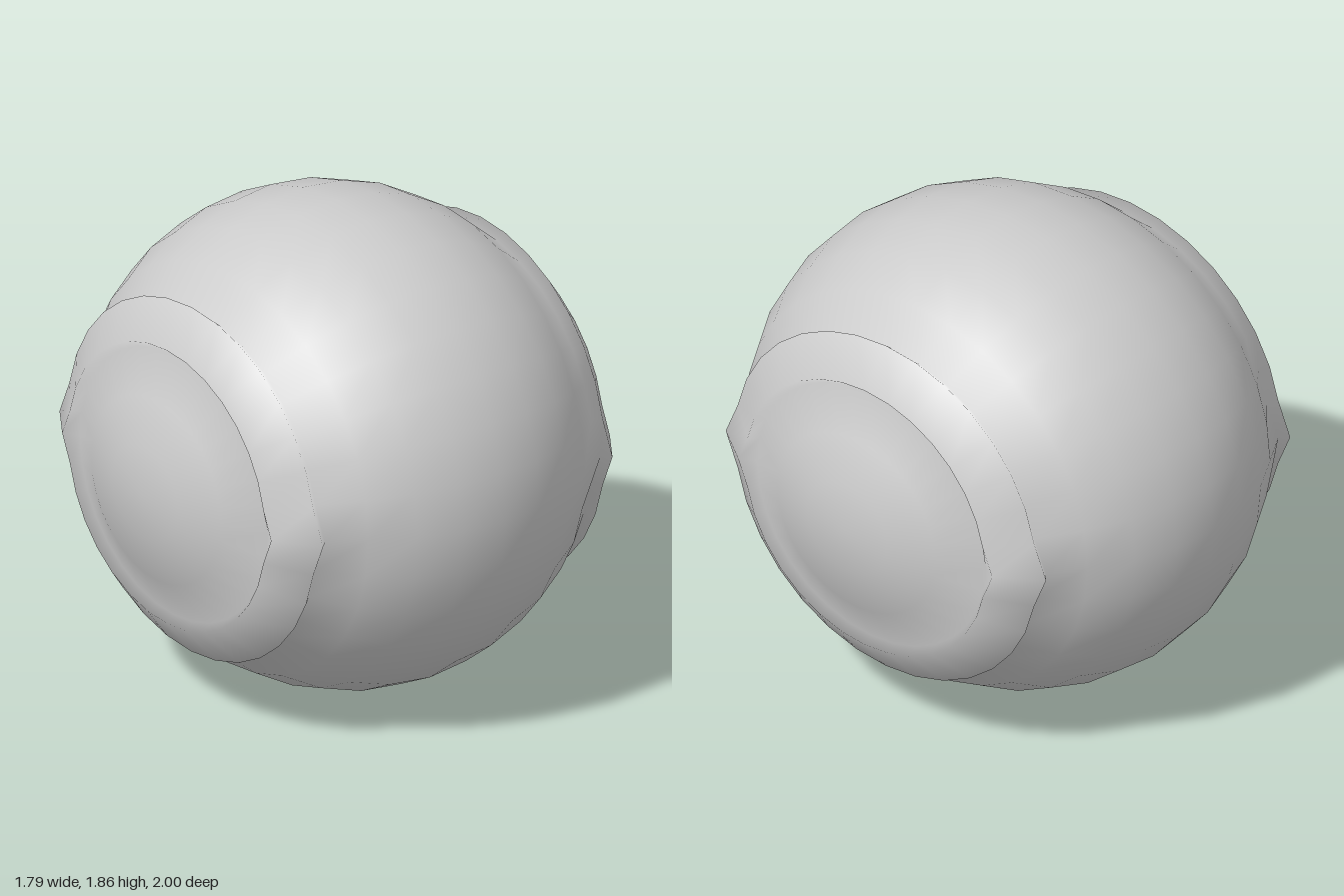
import * as THREE from 'three';
import { mergeVertices } from 'three/addons/utils/BufferGeometryUtils.js';

const SEGMENTS = 32;
const HALF_WIDTH = 0.895, HALF_HEIGHT = 0.928, HALF_DEPTH = 1;

// Point on the round body, k steps of 11.25 degrees from the middle to the side pole
function bodyPoint(k) {
  const a = (k * Math.PI) / 16;
  return [k === 8 ? 0 : Math.cos(a), HALF_WIDTH * Math.sin(a)];
}

export function createModel() {
  const group = new THREE.Group();

  // Half profile [radius, distance along x]: body, raised collar, then side dome
  const half = [
    ...[0, 1, 2, 3, 4].map(bodyPoint),
    [0.735, 0.665], [0.583, 0.778], // collar crest and outer rim
    ...[5, 6, 7, 8].map(bodyPoint),
  ];
  const mirrored = half.slice(1).reverse().map(([r, x]) => [r, -x]);
  const profile = [...mirrored, ...half].map(([r, x]) => new THREE.Vector2(r, x));

  let geometry = new THREE.LatheGeometry(profile, SEGMENTS);
  geometry.rotateZ(-Math.PI / 2);

  // Pull the collars out to a small point at the front and back
  const pos = geometry.attributes.position;
  for (let i = 0; i < pos.count; i++) {
    const x = Math.abs(pos.getX(i));
    const onCollar = x > 0.62 && x < 0.79 && Math.abs(x - 0.744) > 0.01;
    if (onCollar && Math.abs(pos.getY(i)) < 0.001) pos.setZ(i, pos.getZ(i) * 1.06);
  }
  geometry.scale(1, HALF_HEIGHT, HALF_DEPTH);
  geometry.translate(0, HALF_HEIGHT, 0);

  // Weld the seam and poles for continuous smooth shading
  geometry.deleteAttribute('uv');
  geometry.deleteAttribute('normal');
  geometry = mergeVertices(geometry, 1e-4);
  geometry.computeVertexNormals();

  const body = new THREE.Mesh(geometry, new THREE.MeshStandardMaterial({ color: 0xcccccc }));
  body.name = 'roundBodyWithSideCollars';
  group.add(body);
  return group;
}
